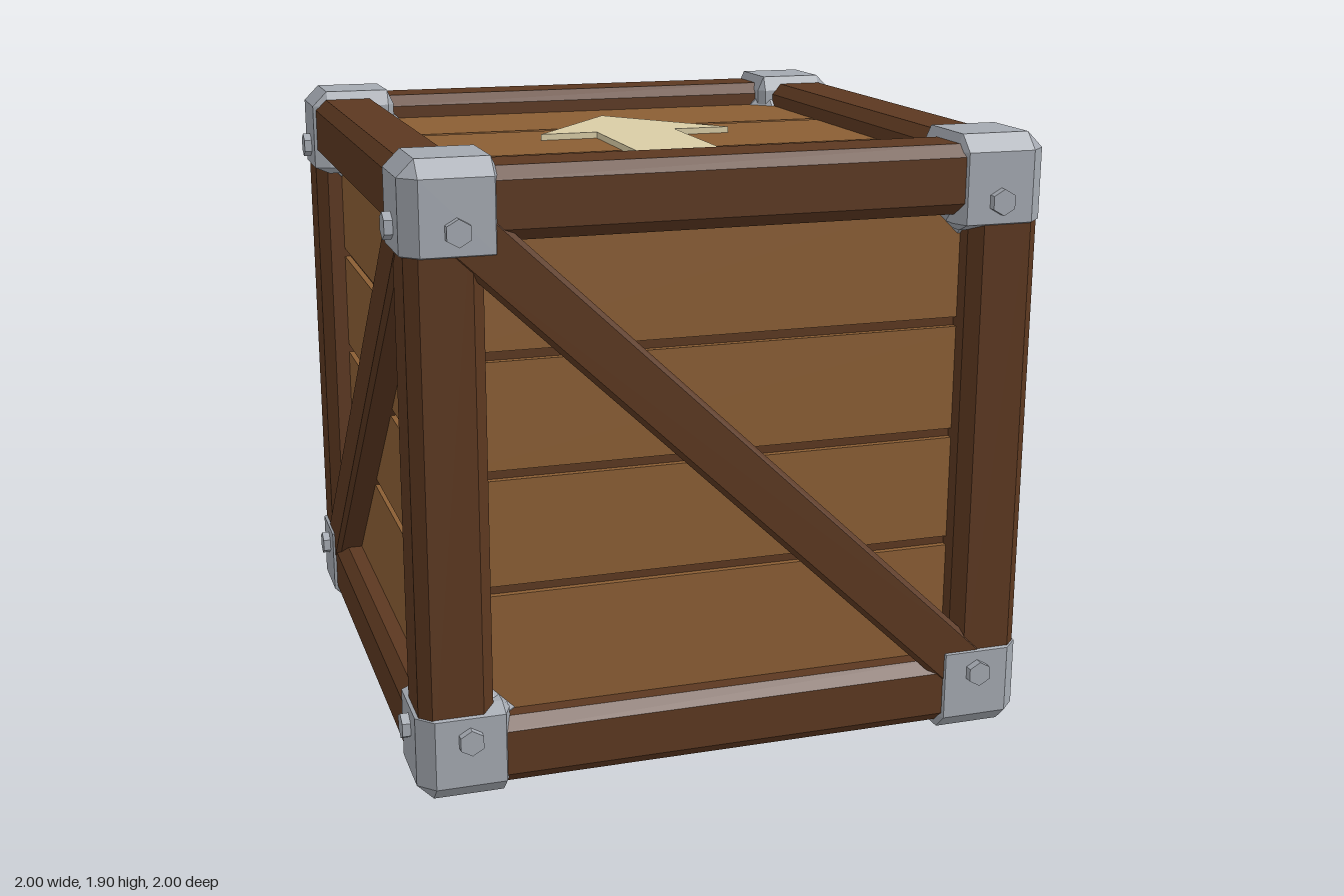
import * as THREE from 'three';
import { ConvexGeometry } from 'three/addons/geometries/ConvexGeometry.js';

const mat = (color) => new THREE.MeshStandardMaterial({ color, flatShading: true });
const CY = 0.9525; // mid height of the crate

// Box with cut edges; cHi cuts the positive sides, cLo the negative ones.
function chamferBox(sx, sy, sz, cHi, cLo = cHi) {
  const half = [sx / 2, sy / 2, sz / 2];
  const points = [];
  for (const x of [-1, 1]) for (const y of [-1, 1]) for (const z of [-1, 1]) {
    const s = [x, y, z];
    for (let axis = 0; axis < 3; axis++) {
      const p = s.map((v, i) => v * (half[i] - (i === axis ? 0 : v > 0 ? cHi : cLo)));
      points.push(new THREE.Vector3(...p));
    }
  }
  return new ConvexGeometry(points);
}

function add(parent, name, geometry, material, x = 0, y = 0, z = 0) {
  const mesh = new THREE.Mesh(geometry, material);
  mesh.name = name;
  mesh.position.set(x, y, z);
  parent.add(mesh);
  return mesh;
}

export function createModel() {
  const crate = new THREE.Group();
  crate.name = 'crate';
  const plank = mat(0x8b5e34), beam = mat(0x5c3820), metal = mat(0xa4a9b1), paint = mat(0xd9cca5);

  // dark inner core seen through the gaps, and the plain floor
  add(crate, 'core', new THREE.BoxGeometry(1.72, 1.66, 1.72), beam, 0, CY, 0);
  add(crate, 'floorBoard', new THREE.BoxGeometry(1.7, 0.03, 1.7), plank, 0, 0.12, 0);

  // lid boards
  const lidBoards = [[-0.8, -0.29], [-0.26, 0.255], [0.285, 0.8]];
  for (const [a, b] of lidBoards) {
    add(crate, 'lidBoard', new THREE.BoxGeometry(1.7, 0.04, b - a), plank, 0, 1.78, (a + b) / 2);
  }

  // four sides with boards and a diagonal brace
  const boards = [[0.15, 0.6], [0.63, 0.955], [0.985, 1.31], [1.34, 1.75]];
  const braceGeo = chamferBox(2.17, 0.17, 0.12, 0.015);
  for (let i = 0; i < 4; i++) {
    const side = new THREE.Group();
    side.name = 'side';
    side.rotation.y = i * Math.PI / 2;
    for (const [a, b] of boards) {
      add(side, 'sideBoard', new THREE.BoxGeometry(1.7, b - a, 0.04), plank, 0, (a + b) / 2, 0.86);
    }
    const brace = add(side, 'diagonalBrace', braceGeo, beam, 0, CY, 0.908);
    brace.rotation.z = (i % 2 ? 1 : -1) * 0.759;
    crate.add(side);
  }

  // frame beams along all twelve edges
  const postGeo = chamferBox(0.225, 1.7, 0.225, 0.036);
  const railXGeo = chamferBox(1.75, 0.21, 0.225, 0.036);
  const railZGeo = chamferBox(0.225, 0.21, 1.75, 0.036);
  for (const a of [-1, 1]) for (const b of [-1, 1]) {
    add(crate, 'cornerPost', postGeo, beam, a * 0.8525, CY, b * 0.8525);
    add(crate, 'crossRail', railXGeo, beam, 0, CY + a * 0.82, b * 0.8525);
    add(crate, 'sideRail', railZGeo, beam, a * 0.8525, CY + b * 0.82, 0);
  }

  // metal corners: outer cap, inner lug and two hex bolts, mirrored eight ways
  const capGeo = chamferBox(0.285, 0.2875, 0.285, 0.05, 0.022);
  const lugGeo = chamferBox(0.28, 0.262, 0.28, 0.065);
  const boltGeo = new THREE.CylinderGeometry(0.04, 0.04, 0.06, 6).rotateX(Math.PI / 2);
  for (const x of [-1, 1]) for (const y of [-1, 1]) for (const z of [-1, 1]) {
    const corner = new THREE.Group();
    corner.name = 'metalCorner';
    add(corner, 'cap', capGeo, metal, 0.8325, 0.80875, 0.8325);
    add(corner, 'innerLug', lugGeo, metal, 0.805, 0.778, 0.805);
    add(corner, 'bolt', boltGeo, metal, 0.82, 0.755, 0.97);
    add(corner, 'bolt', boltGeo, metal, 0.97, 0.755, 0.82).rotation.y = Math.PI / 2;
    corner.position.y = CY;
    corner.scale.set(x, y, z);
    crate.add(corner);
  }

  // arrow on the lid, pointing to the back
  const outline = [[0, 0.44], [-0.325, 0.035], [-0.135, 0.035], [-0.135, -0.4],
    [0.135, -0.4], [0.135, 0.035], [0.325, 0.035]];
  const shape = new THREE.Shape(outline.map(([x, y]) => new THREE.Vector2(x, y)));
  const arrowGeo = new THREE.ExtrudeGeometry(shape, { depth: 0.025, bevelEnabled: false });
  add(crate, 'arrow', arrowGeo.rotateX(-Math.PI / 2), paint, 0, 1.795, 0);

  return crate;
}
